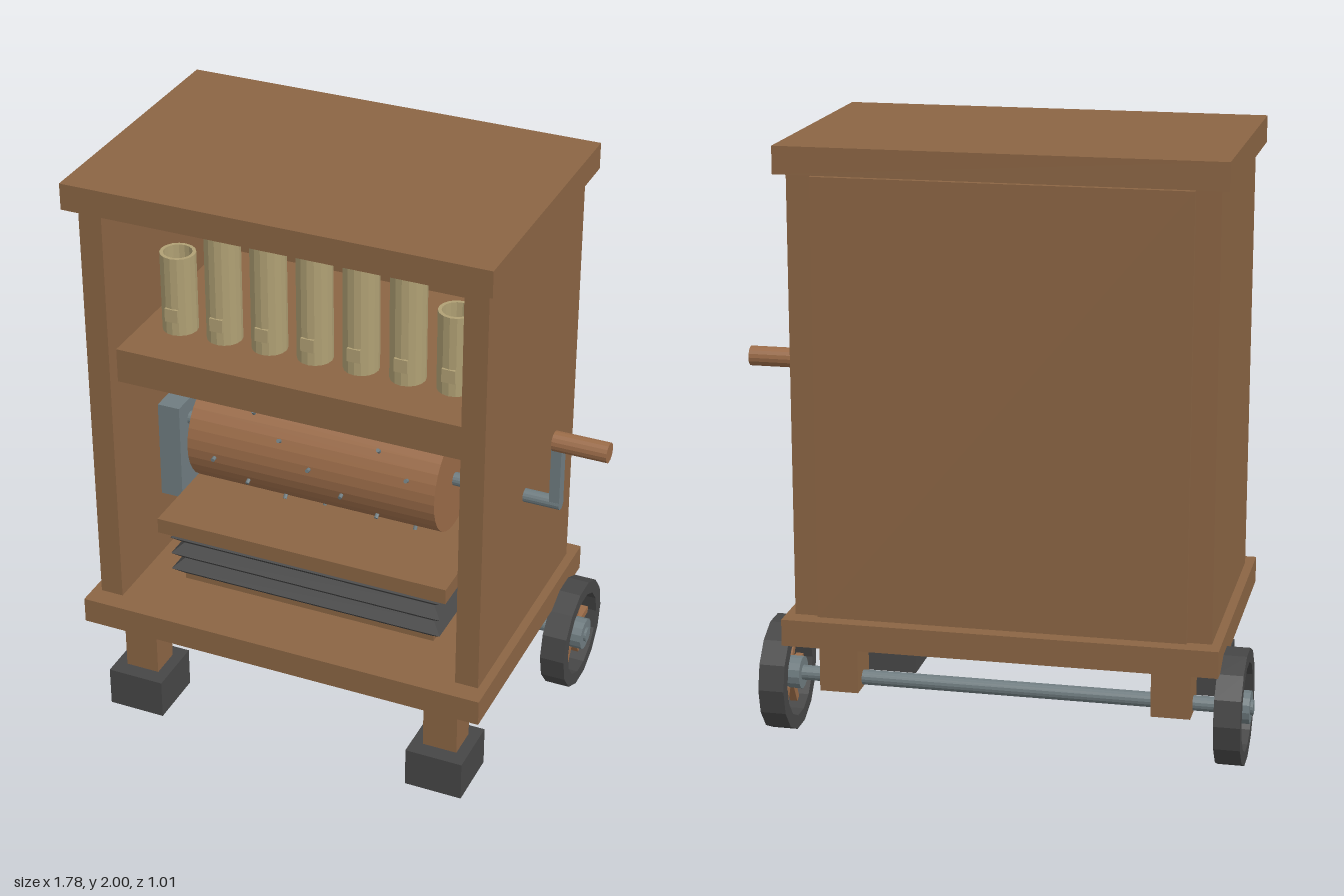
import * as THREE from 'three';

const mat = (name, color) => Object.assign(new THREE.MeshStandardMaterial({ color }), { name });

export function createModel() {
  const wood = mat('wood', 0x8b6544);
  const barrelWood = mat('barrel wood', 0x9a6b48);
  const pipeWood = mat('pale pipe wood', 0xb0a074);
  const metal = mat('grey metal', 0x6f7c80);
  const dark = mat('dark rubber', 0x464646);

  const root = new THREE.Group();
  root.name = 'barrelOrgan';
  // the cabinet sits off centre because the crank sticks out on one side
  const body = new THREE.Group();
  body.name = 'body';
  body.position.x = -0.08;
  root.add(body);

  const flat = (g) => {
    const f = g.index ? g.toNonIndexed() : g;
    f.computeVertexNormals();
    return f;
  };
  const add = (name, geo, material, x, y, z, parent = body) => {
    const m = new THREE.Mesh(geo, material);
    m.name = name;
    m.position.set(x, y, z);
    parent.add(m);
    return m;
  };
  // box given by its extents
  const box = (name, material, x0, x1, y0, y1, z0, z1, parent) =>
    add(name, new THREE.BoxGeometry(x1 - x0, y1 - y0, z1 - z0), material,
      (x0 + x1) / 2, (y0 + y1) / 2, (z0 + z1) / 2, parent);
  // cylinder lying along x
  const rod = (name, material, x0, x1, r, y, z, sides = 16, parent) =>
    add(name, flat(new THREE.CylinderGeometry(r, r, x1 - x0, sides).rotateZ(Math.PI / 2)),
      material, (x0 + x1) / 2, y, z, parent);
  const lathe = (pts, sides) =>
    flat(new THREE.LatheGeometry(pts.map(([r, y]) => new THREE.Vector2(r, y)), sides));

  // cabinet
  box('base', wood, -0.72, 0.72, 0.35, 0.44, -0.475, 0.505);
  box('roof', wood, -0.72, 0.72, 1.91, 2, -0.46, 0.49);
  box('backPanel', wood, -0.61, 0.61, 0.44, 1.9, -0.425, -0.39);
  box('pipeShelf', wood, -0.61, 0.61, 1.26, 1.38, -0.39, 0.385);

  const axisY = 0.96, axisZ = 0.053;
  const wheelY = 0.197, wheelZ = -0.308;
  const rimGeo = lathe([[0.147, -0.043], [0.193, -0.043], [0.193, 0.043], [0.147, 0.043], [0.147, -0.043]], 14)
    .rotateZ(Math.PI / 2);

  for (const s of [-1, 1]) {
    const pair = (name, material, cx, w, y0, y1, z0, z1) =>
      box(name, material, s * cx - w / 2, s * cx + w / 2, y0, y1, z0, z1);
    pair('sidePanel', wood, 0.65, 0.08, 0.44, 1.91, -0.41, 0.435);
    pair('frontLeg', wood, 0.555, 0.12, 0.14, 0.35, 0.31, 0.42);
    pair('frontFoot', dark, 0.555, 0.2, 0, 0.14, 0.265, 0.475);
    pair('axleBlock', wood, 0.555, 0.13, 0.165, 0.35, wheelZ - 0.07, wheelZ + 0.07);
    pair('barrelBearing', metal, 0.565, 0.08, 0.68, 1.035, axisZ - 0.08, axisZ + 0.08);
    pair('railBracket', wood, 0.525, 0.07, 1.15, 1.26, axisZ - 0.05, axisZ + 0.05);

    // spoked wheel
    const wheel = new THREE.Group();
    wheel.name = 'wheel';
    wheel.position.set(s * 0.753, wheelY, wheelZ);
    body.add(wheel);
    add('rim', rimGeo, dark, 0, 0, 0, wheel);
    rod('hub', metal, -0.055, 0.055, 0.055, 0, 0, 14, wheel);
    for (let i = 0; i < 6; i++) {
      const geo = new THREE.BoxGeometry(0.025, 0.025, 0.11);
      geo.translate(0, 0, 0.1).rotateX((i * Math.PI) / 3);
      add('spoke', geo, barrelWood, 0, 0, 0, wheel);
    }
  }
  rod('wheelAxle', metal, -0.817, 0.817, 0.025, wheelY, wheelZ);

  // organ pipes, hollow at the top, with a small mouth block
  [1.66, 1.76, 1.83, 1.9, 1.83, 1.76, 1.66].forEach((top, i) => {
    const x = (i - 3) * 0.1617, h = top - 1.38;
    add('pipe', lathe([[0.06, 0], [0.06, h], [0.048, h], [0.048, 0.03], [0, 0.03]], 16),
      pipeWood, x, 1.38, 0.17);
    box('pipeMouth', pipeWood, x - 0.023, x + 0.023, 1.43, 1.477, 0.2, 0.235);
  });

  // key rail above the barrel
  rod('keyRail', metal, -0.49, 0.49, 0.02, 1.18, axisZ, 12);

  // pinned barrel with its keys
  rod('barrel', barrelWood, -0.445, 0.445, 0.18, axisY, axisZ, 32);
  for (let c = 0; c < 7; c++) {
    const x = (c - 3) * 0.115;
    box('key', metal, x - 0.01, x + 0.01, 1.145, 1.19, axisZ - 0.02, axisZ + 0.035);
    for (let k = -1; k < 3; k++) {
      const a = THREE.MathUtils.degToRad(77 - 23 * c - 82 * k);
      const pin = new THREE.CylinderGeometry(0.007, 0.007, 0.03, 8);
      pin.translate(0, 0.18, 0).rotateX(Math.PI / 2 - a);
      add('barrelPin', pin, metal, x, axisY, axisZ);
    }
  }

  // crank
  rod('barrelAxle', metal, -0.6, 0.815, 0.023, axisY, axisZ);
  box('crankArm', metal, 0.78, 0.815, axisY, 1.19, axisZ - 0.021, axisZ + 0.021);
  rod('crankHandle', barrelWood, 0.783, 0.968, 0.034, 1.19, axisZ);

  // bellows: pleats made by widening every other ring
  box('bellowsTop', wood, -0.525, 0.525, 0.65, 0.705, axisZ - 0.265, axisZ + 0.265);
  box('bellowsFoot', wood, -0.46, 0.46, 0.44, 0.46, axisZ - 0.2, axisZ + 0.2);
  const pleats = new THREE.BoxGeometry(0.92, 0.19, 0.4, 1, 6, 1);
  const p = pleats.attributes.position;
  for (let i = 0; i < p.count; i++) {
    const row = Math.round(((p.getY(i) + 0.095) / 0.19) * 6);
    if (row % 2) {
      p.setX(i, p.getX(i) + Math.sign(p.getX(i)) * 0.035);
      p.setZ(i, p.getZ(i) + Math.sign(p.getZ(i)) * 0.035);
    }
  }
  add('bellows', flat(pleats), dark, 0, 0.555, axisZ);

  return root;
}
